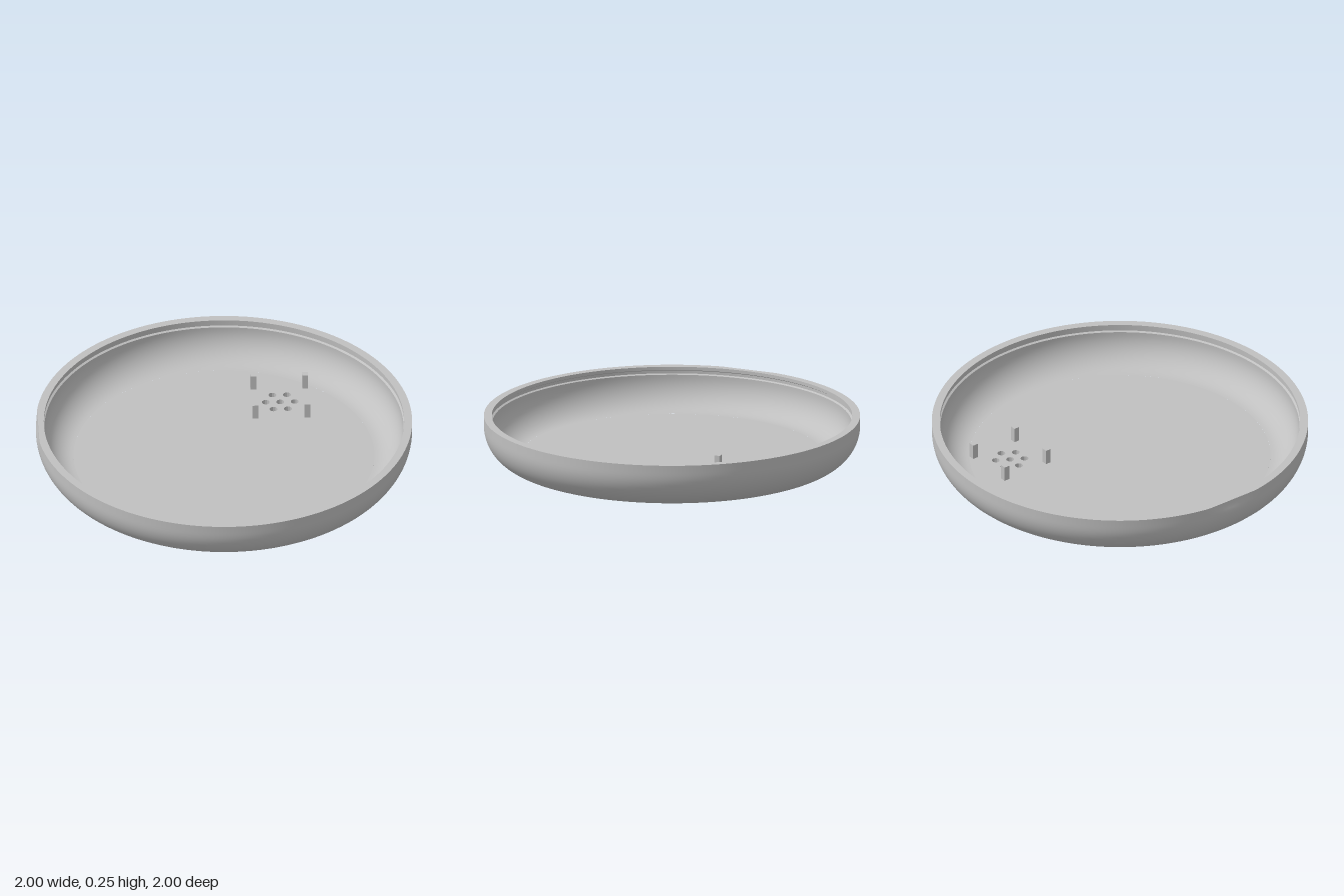
import * as THREE from 'three';
import { toCreasedNormals } from 'three/addons/utils/BufferGeometryUtils.js';

const FLOOR_RADIUS = 0.8, FLOOR_TOP = 0.04, RIM_TOP = 0.255;
const VENT = { x: 0.32, z: -0.49 };

// Quarter-round points between the floor and the wall
function fillet(radius, centreY, steps) {
  const points = [];
  for (let i = 0; i <= steps; i++) {
    const a = (i / steps) * Math.PI / 2;
    points.push(new THREE.Vector2(FLOOR_RADIUS + Math.sin(a) * radius.x, centreY - Math.cos(a) * radius.y));
  }
  return points;
}

function wallGeometry() {
  const v = (x, y) => new THREE.Vector2(x, y);
  const outer = fillet({ x: 0.2, y: 0.2 }, 0.2, 16);
  const inner = fillet({ x: 0.155, y: 0.16 }, 0.2, 16).reverse();
  const profile = [
    ...outer, v(1, 0.215), v(1, 0.235), v(1, RIM_TOP),
    // Rim and the shallow snap groove inside it
    v(0.958, RIM_TOP), v(0.958, 0.237), v(0.966, 0.232), v(0.966, 0.217), v(0.955, 0.212),
    ...inner,
  ];
  const geometry = new THREE.LatheGeometry(profile, 256);

  // Slanted flat thumb notch on the rim at -x
  const p = geometry.attributes.position;
  for (let i = 0; i < p.count; i++) {
    const x = p.getX(i), y = p.getY(i);
    if (Math.hypot(x, p.getZ(i)) < 0.98 || y < 0.2) continue;
    const limit = -1 + 0.012 * Math.min(1, (y - 0.2) / 0.04);
    p.setX(i, Math.max(x, limit));
  }
  return toCreasedNormals(geometry, 0.5);
}

// Round floor pierced by a hexagon of vent holes
function floorGeometry() {
  const shape = new THREE.Shape().absarc(0, 0, FLOOR_RADIUS, 0, Math.PI * 2, false);
  const addHole = (x, z) =>
    shape.holes.push(new THREE.Path().absarc(x, -z, 0.021, 0, Math.PI * 2, true));
  addHole(VENT.x, VENT.z);
  for (let i = 0; i < 6; i++) {
    const a = i * Math.PI / 3;
    addHole(VENT.x + Math.cos(a) * 0.077, VENT.z + Math.sin(a) * 0.077);
  }
  const geometry = new THREE.ExtrudeGeometry(shape, { depth: FLOOR_TOP, bevelEnabled: false, curveSegments: 64 });
  geometry.rotateX(-Math.PI / 2);
  return toCreasedNormals(geometry, 0.6);
}

export function createModel() {
  const group = new THREE.Group();
  group.name = 'shallowRoundCase';
  const grey = new THREE.MeshStandardMaterial({ color: 0xc0c0c0 });
  grey.name = 'lightGrey';

  const add = (name, geometry) => {
    const mesh = new THREE.Mesh(geometry, grey);
    mesh.name = name;
    group.add(mesh);
    return mesh;
  };

  add('wall', wallGeometry());
  add('floor', floorGeometry());

  // Four square mounting posts around the vent
  const postHeight = 0.085;
  for (const sx of [-1, 1]) {
    for (const sz of [-1, 1]) {
      const post = add('mountingPost', new THREE.BoxGeometry(0.031, postHeight, 0.031));
      post.position.set(VENT.x + sx * 0.138, FLOOR_TOP + postHeight / 2 - 0.002, VENT.z + sz * 0.138);
    }
  }
  return group;
}
